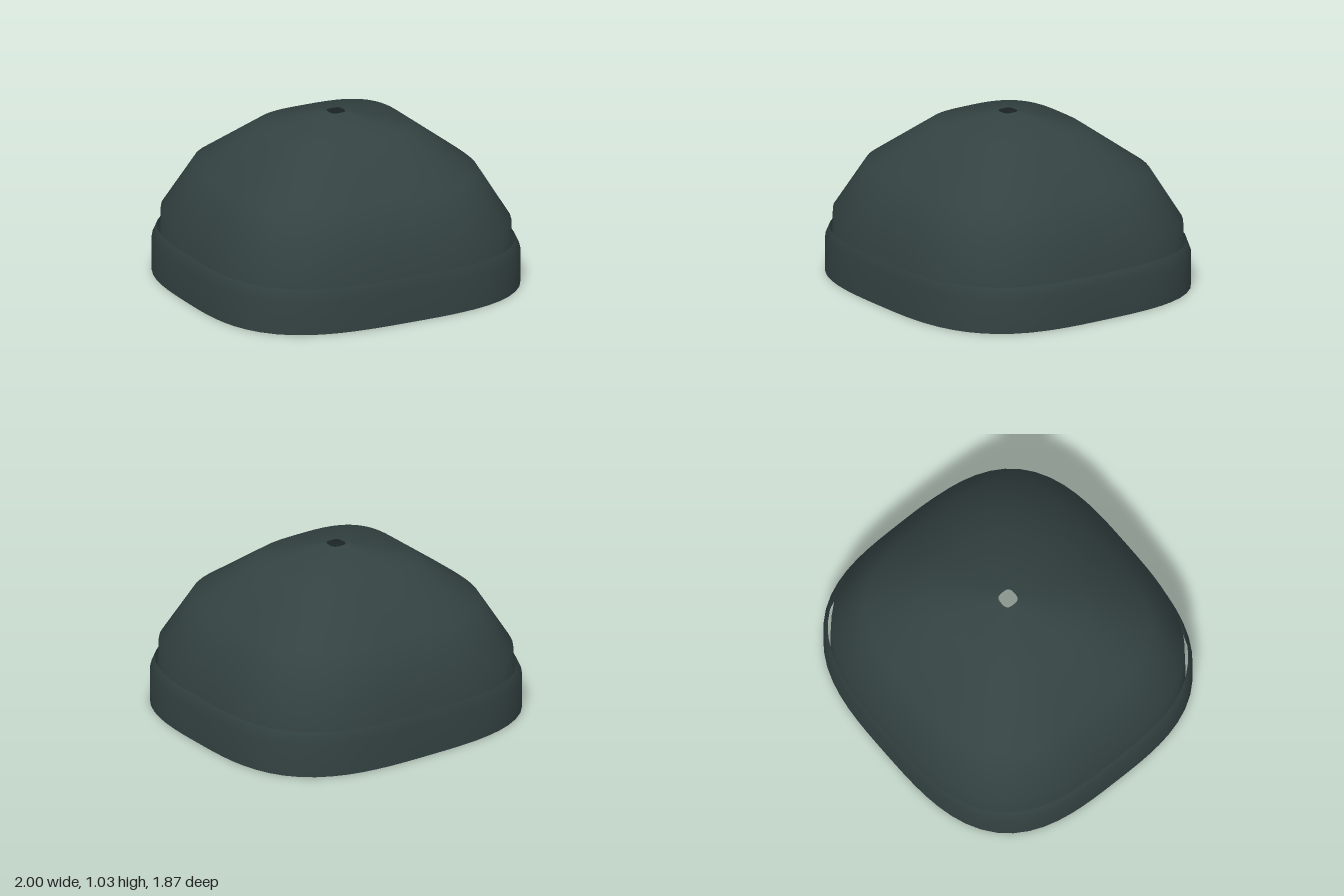
import * as THREE from 'three';

const SEGMENTS = 72;
const SQUARENESS = 3.1;

// Lofts rounded-square rings, listed from bottom to top as [halfWidth, halfDepth, y]
function loft(rings) {
  const positions = [], index = [];
  for (const [w, d, y] of rings) {
    for (let i = 0; i < SEGMENTS; i++) {
      const a = (i / SEGMENTS) * Math.PI * 2;
      const c = Math.cos(a), s = Math.sin(a);
      const r = (Math.abs(c) ** SQUARENESS + Math.abs(s) ** SQUARENESS) ** (-1 / SQUARENESS);
      positions.push(w * r * c, y, d * r * s);
    }
  }
  for (let k = 0; k < rings.length - 1; k++) {
    for (let i = 0; i < SEGMENTS; i++) {
      const j = (i + 1) % SEGMENTS;
      const a = k * SEGMENTS + i, b = k * SEGMENTS + j;
      const c = a + SEGMENTS, d = b + SEGMENTS;
      index.push(a, c, b, b, c, d);
    }
  }
  const geometry = new THREE.BufferGeometry();
  geometry.setAttribute('position', new THREE.Float32BufferAttribute(positions, 3));
  geometry.setIndex(index);
  geometry.computeVertexNormals();
  return geometry;
}

export function createModel() {
  const group = new THREE.Group();
  group.name = 'knitCap';

  const wool = new THREE.MeshStandardMaterial({ color: 0x344242, side: THREE.DoubleSide });
  wool.name = 'darkSlateWool';

  // Domed crown, open below and with a small hole at the top
  const crown = new THREE.Mesh(loft([
    [0.957, 0.905, 0.02],
    [0.946, 0.903, 0.39],
    [0.77, 0.733, 0.69],
    [0.43, 0.388, 0.945],
    [0.05, 0.05, 1.03],
  ]), wool);
  crown.name = 'crown';

  // Turned-up cuff, standing slightly off the crown
  const cuff = new THREE.Mesh(loft([
    [1, 0.936, 0],
    [1, 0.936, 0.21],
    [0.97, 0.918, 0.276],
  ]), wool);
  cuff.name = 'cuff';

  group.add(crown, cuff);
  return group;
}
